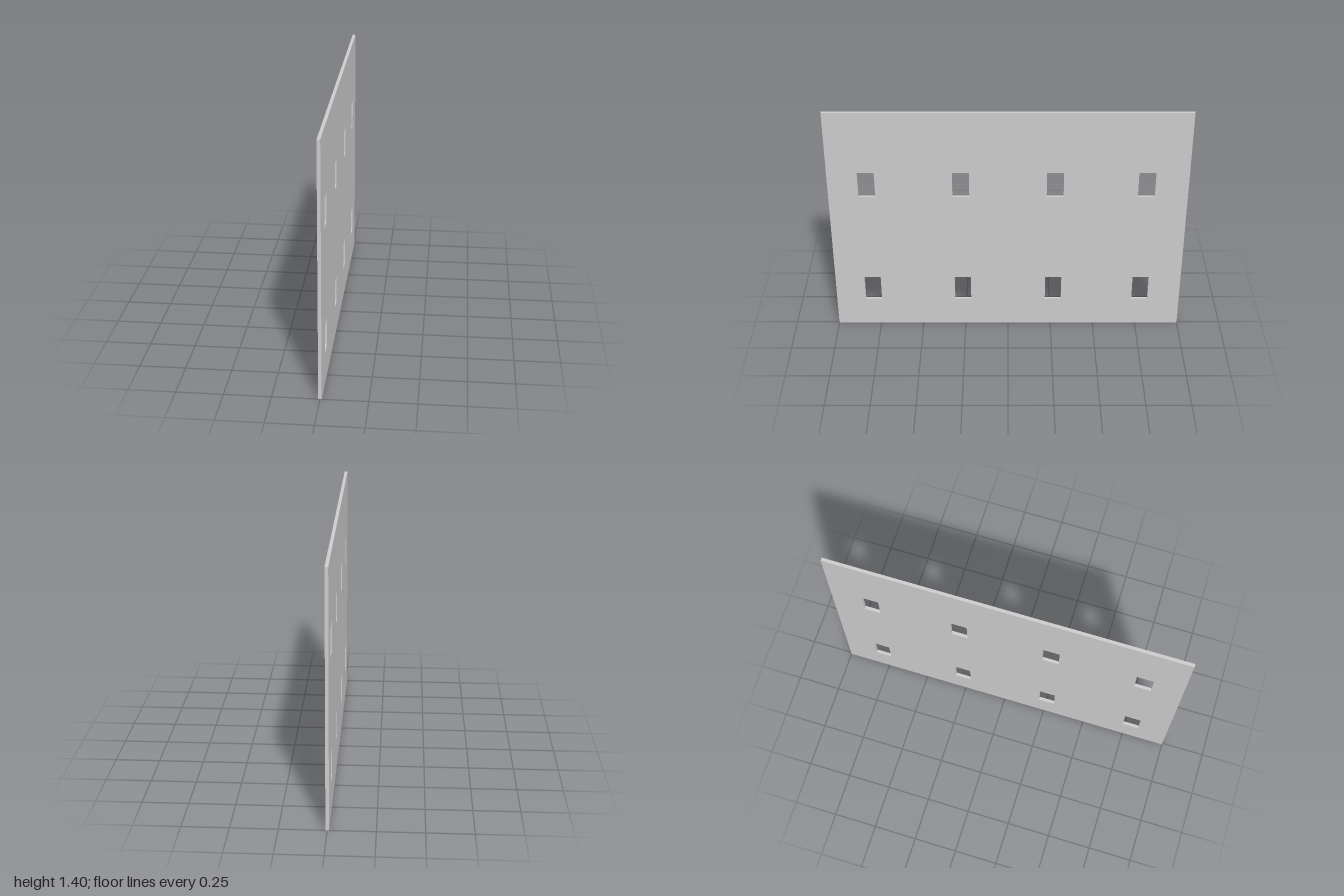
import * as THREE from 'three';

const LENGTH = 2, HEIGHT = 1.4, THICKNESS = 0.018;
const HOLE_W = 0.094, HOLE_H = 0.155;

// Traces a rectangle centred on (cx, cy) into a Shape or Path
function rectangle(path, cx, cy, w, h) {
  path.moveTo(cx - w / 2, cy - h / 2);
  path.lineTo(cx + w / 2, cy - h / 2);
  path.lineTo(cx + w / 2, cy + h / 2);
  path.lineTo(cx - w / 2, cy + h / 2);
  path.closePath();
  return path;
}

export function createModel() {
  const group = new THREE.Group();
  group.name = 'wallPanel';

  // Panel outline, drawn with the shape's x running along the model's z
  const outline = rectangle(new THREE.Shape(), 0, HEIGHT / 2, LENGTH, HEIGHT);

  // Two rows of four window openings
  for (const y of [0.253, 0.952]) {
    for (const z of [0.785, 0.262, -0.262, -0.769]) {
      outline.holes.push(rectangle(new THREE.Path(), z, y, HOLE_W, HOLE_H));
    }
  }

  // Thin slab, turned to stand in the y-z plane
  const geometry = new THREE.ExtrudeGeometry(outline, { depth: THICKNESS, bevelEnabled: false });
  geometry.translate(0, 0, -THICKNESS / 2);
  geometry.rotateY(-Math.PI / 2);

  const panel = new THREE.Mesh(geometry, new THREE.MeshStandardMaterial({ color: 0xcccccc }));
  panel.name = 'panelWithWindows';
  group.add(panel);
  return group;
}
